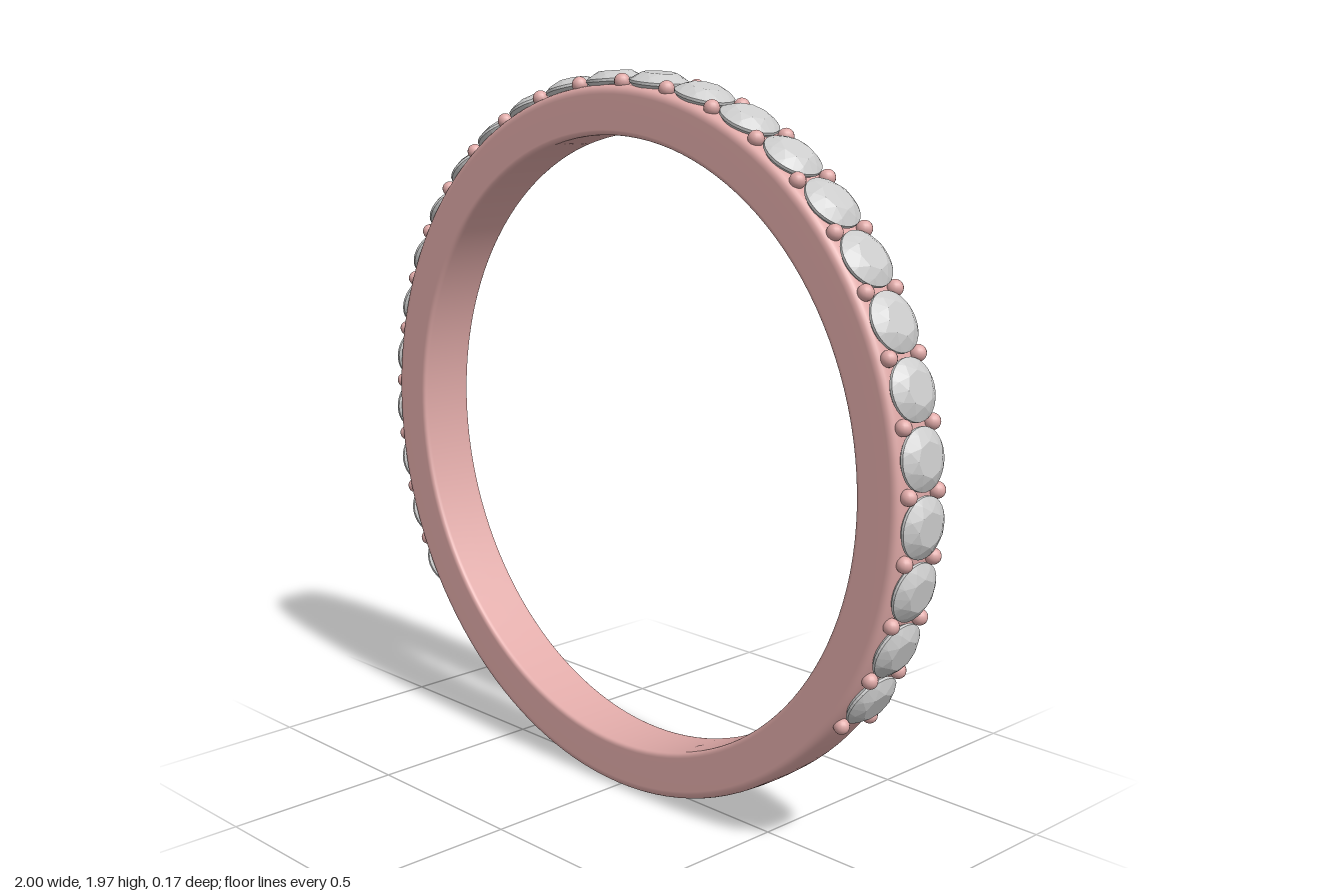
import * as THREE from 'three';
import { ConvexGeometry } from 'three/addons/geometries/ConvexGeometry.js';

const OUTER = 0.967, INNER = 0.835, HALF_WIDTH = 0.083;
const GEMS = 26, STEP = THREE.MathUtils.degToRad(9.69);

// Band cross-section: a rectangle with softly rounded corners, run counter-clockwise
function bandProfile() {
  const s = new THREE.Shape(), w = HALF_WIDTH, o = 0.026, i = 0.014;
  s.moveTo(INNER, 0);
  s.lineTo(INNER, -w + i);
  s.quadraticCurveTo(INNER, -w, INNER + i, -w);
  s.lineTo(OUTER - o, -w);
  s.quadraticCurveTo(OUTER - 0.003, -w, OUTER - 0.002, -w + o);
  s.quadraticCurveTo(OUTER + 0.002, 0, OUTER - 0.002, w - o);
  s.quadraticCurveTo(OUTER - 0.003, w, OUTER - o, w);
  s.lineTo(INNER + i, w);
  s.quadraticCurveTo(INNER, w, INNER, w - i);
  s.lineTo(INNER, 0);
  return s.getPoints(6);
}

// Round brilliant: table, crown facets, thin girdle and pavilion, pointing along +y
function gemGeometry() {
  const points = [];
  const ring = (radius, y, count, turn = 0) => {
    for (let k = 0; k < count; k++) {
      const a = ((k + turn) / count) * Math.PI * 2;
      points.push(new THREE.Vector3(radius * Math.cos(a), y, radius * Math.sin(a)));
    }
  };
  ring(0.044, 0.024, 8);
  ring(0.064, 0.0135, 8, 0.5);
  ring(0.078, 0.003, 32);
  ring(0.078, -0.004, 32);
  points.push(new THREE.Vector3(0, -0.075, 0));
  return new ConvexGeometry(points);
}

export function createModel() {
  const ring = new THREE.Group();
  ring.name = 'ring';
  const metal = new THREE.MeshStandardMaterial({ color: 0xe0aaa8 });
  const stone = new THREE.MeshStandardMaterial({ color: 0xcccccc, flatShading: true });

  const band = new THREE.Mesh(new THREE.LatheGeometry(bandProfile(), 128), metal);
  band.name = 'band';
  band.rotation.x = Math.PI / 2;
  ring.add(band);

  const gemGeo = gemGeometry();
  const beadGeo = new THREE.SphereGeometry(0.021, 16, 12);

  // Gems sit between pairs of beads, from lower left over the top to lower right
  for (let k = 0; k < GEMS; k++) {
    const gemAngle = (k - GEMS / 2 + 0.5) * STEP;
    const gem = new THREE.Mesh(gemGeo, stone);
    gem.name = 'gem';
    gem.position.set(Math.sin(gemAngle) * 0.976, Math.cos(gemAngle) * 0.976, 0);
    gem.rotation.z = -gemAngle;
    ring.add(gem);

    const beadAngle = gemAngle + STEP / 2;
    for (const side of [-1, 1]) {
      const bead = new THREE.Mesh(beadGeo, metal);
      bead.name = 'bead';
      bead.position.set(Math.sin(beadAngle) * 0.973, Math.cos(beadAngle) * 0.973, side * 0.054);
      ring.add(bead);
    }
  }

  ring.position.y = OUTER;
  const model = new THREE.Group();
  model.name = 'gemBand';
  model.add(ring);
  return model;
}
